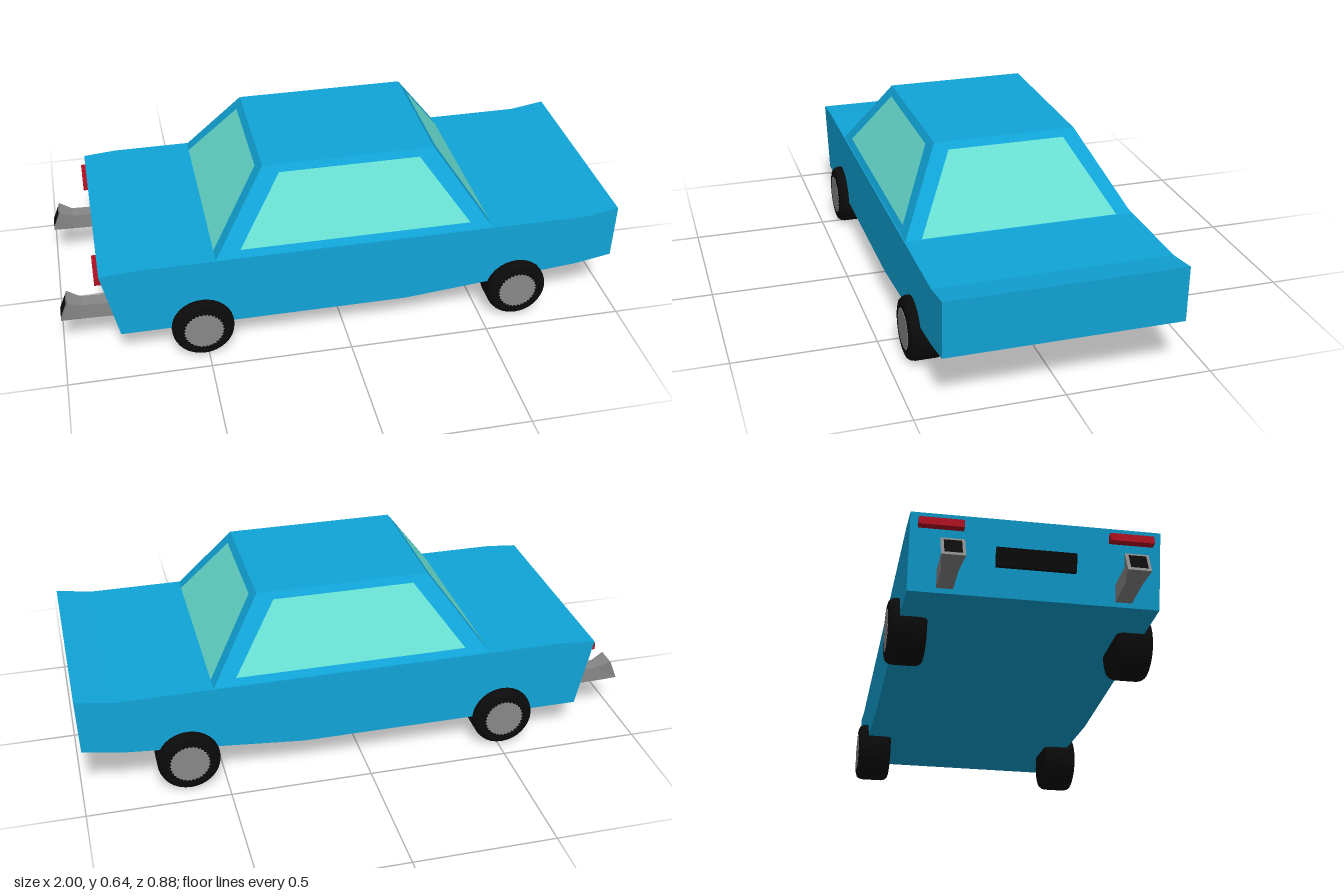
import * as THREE from 'three';

const paint = new THREE.MeshStandardMaterial({ color: 0x10a5d8, flatShading: true });
const glass = new THREE.MeshStandardMaterial({ color: 0x68dfd2, side: THREE.DoubleSide });
const rubber = new THREE.MeshStandardMaterial({ color: 0x0b0b0b });
const black = new THREE.MeshStandardMaterial({ color: 0x0b0b0b, side: THREE.DoubleSide });
const steel = new THREE.MeshStandardMaterial({ color: 0x888888, flatShading: true });
const red = new THREE.MeshStandardMaterial({ color: 0xb01020 });

function add(parent, name, geometry, material) {
  const mesh = new THREE.Mesh(geometry, material);
  mesh.name = name;
  parent.add(mesh);
  return mesh;
}

// Flat-sided solid through a list of four-cornered sections
function loft(sections) {
  const pos = [];
  const quad = (a, b, c, d) => pos.push(...a, ...b, ...c, ...a, ...c, ...d);
  for (let s = 0; s < sections.length - 1; s++) {
    const lo = sections[s], hi = sections[s + 1];
    for (let i = 0; i < 4; i++) quad(lo[i], lo[(i + 1) % 4], hi[(i + 1) % 4], hi[i]);
  }
  quad(...[...sections[0]].reverse());
  quad(...sections[sections.length - 1]);
  return fromPositions(pos);
}

function panel(a, b, c, d) {
  return fromPositions([...a, ...b, ...c, ...a, ...c, ...d]);
}

function fromPositions(pos) {
  const g = new THREE.BufferGeometry();
  g.setAttribute('position', new THREE.Float32BufferAttribute(pos, 3));
  g.computeVertexNormals();
  return g;
}

// Slab outline in side elevation, extruded symmetrically across z
function sideExtrude(points, halfWidth) {
  const shape = new THREE.Shape(points.map(([x, y]) => new THREE.Vector2(x, y)));
  return new THREE.ExtrudeGeometry(shape, { depth: halfWidth * 2, bevelEnabled: false })
    .translate(0, 0, -halfWidth);
}

function makeWheel() {
  const wheel = new THREE.Group();
  // Tyre with rounded shoulders; the lathe axis becomes z
  const profile = [[0, -0.0625], [0.09, -0.0625], [0.1, -0.059], [0.107, -0.05], [0.11, -0.038],
    [0.11, 0.038], [0.107, 0.05], [0.1, 0.059], [0.09, 0.0625], [0, 0.0625]];
  const tyre = new THREE.LatheGeometry(profile.map(p => new THREE.Vector2(...p)), 32);
  add(wheel, 'tyre', tyre.rotateX(Math.PI / 2), rubber);
  // Toothed hub cap
  const hub = new THREE.Shape();
  for (let i = 0; i < 64; i++) {
    const a = (i / 64) * Math.PI * 2, r = i % 2 ? 0.065 : 0.071;
    hub[i ? 'lineTo' : 'moveTo'](Math.cos(a) * r, Math.sin(a) * r);
  }
  const cap = new THREE.ExtrudeGeometry(hub, { depth: 0.004, bevelEnabled: false });
  add(wheel, 'hubCap', cap.translate(0, 0, 0.06), steel);
  return wheel;
}

function makeExhaust() {
  const exhaust = new THREE.Group();
  // Rows: top x, top y, bottom x, bottom y, half width
  const section = ([tx, ty, bx, by, w]) => [[bx, by, -w], [bx, by, w], [tx, ty, w], [tx, ty, -w]];
  const rows = [[-0.78, 0.187, -0.78, 0.13, 0.027], [-0.925, 0.192, -0.925, 0.134, 0.027],
    [-0.972, 0.215, -1, 0.144, 0.038]];
  add(exhaust, 'exhaustPipe', loft(rows.map(section)), steel);
  const mouth = section([-0.978, 0.206, -0.999, 0.153, 0.028]);
  add(exhaust, 'exhaustOpening', panel(...mouth), black);
  return exhaust;
}

export function createModel() {
  const car = new THREE.Group();
  car.name = 'car';

  // Lower body
  add(car, 'body', sideExtrude([[-0.8, 0.115], [0.22, 0.115], [0.86, 0.173], [0.99, 0.196],
    [0.998, 0.395], [0.87, 0.375], [-0.74, 0.375], [-0.857, 0.365]], 0.405), paint);

  // Cabin: tapers from the waistline to the roof
  const y0 = 0.372, y1 = 0.64;
  const at = (a, b, y) => a + (b - a) * (y - y0) / (y1 - y0);
  const front = y => at(0.532, 0.345, y);
  const back = y => at(-0.46, -0.265, y);
  const side = y => at(0.403, 0.25, y);
  const ring = y => [[back(y), y, side(y)], [front(y), y, side(y)],
    [front(y), y, -side(y)], [back(y), y, -side(y)]];
  add(car, 'cabin', loft([ring(y0), ring(y1)]), paint);

  // Windows lie just proud of the cabin walls
  const gap = 0.003, top = 0.617, low = 0.378, sill = 0.4;
  for (const [name, wall, s] of [['windscreen', front, 1], ['rearWindow', back, -1]]) {
    const xl = wall(low) + s * gap, xt = wall(top) + s * gap;
    add(car, name, panel([xl, low, 0.345 * s], [xl, low, -0.345 * s],
      [xt, top, -0.205 * s], [xt, top, 0.205 * s]), glass);
  }
  for (const s of [1, -1]) {
    const zl = s * (side(sill) + gap), zt = s * (side(top) + gap);
    const [l, r] = [[-0.37, -0.21], [0.45, 0.29]];
    const corners = [[l[0], sill, zl], [r[0], sill, zl], [r[1], top, zt], [l[1], top, zt]];
    add(car, s > 0 ? 'frontSideWindow' : 'backSideWindow',
      panel(...(s > 0 ? corners : corners.reverse())), glass);
  }

  // Wheels, exhausts and tail lamps, mirrored across z
  for (const s of [1, -1]) {
    for (const x of [-0.515, 0.63]) {
      const wheel = makeWheel();
      wheel.name = 'wheel';
      wheel.position.set(x, 0.11, s * 0.377);
      if (s < 0) wheel.rotation.y = Math.PI;
      car.add(wheel);
    }
    const exhaust = makeExhaust();
    exhaust.name = 'exhaust';
    exhaust.position.z = s * 0.287;
    car.add(exhaust);
    add(car, 'tailLamp', new THREE.BoxGeometry(0.04, 0.026, 0.145), red)
      .position.set(-0.853, 0.329, s * 0.307);
  }

  // Dark plate following the slope of the tail
  add(car, 'rearPlate', sideExtrude([[-0.81, 0.21], [-0.81, 0.27], [-0.849, 0.27], [-0.836, 0.21]], 0.13), rubber);

  return car;
}
